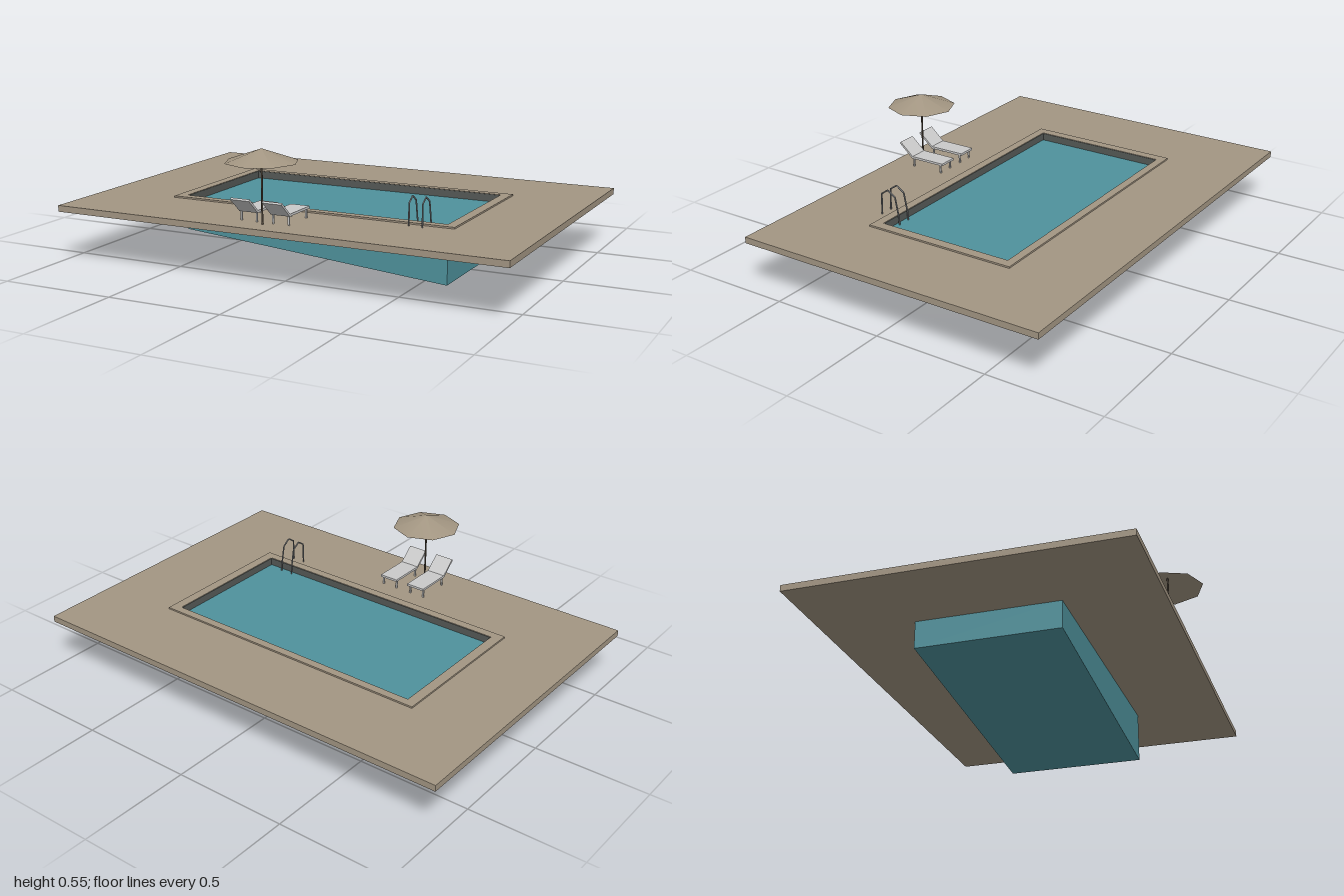
import * as THREE from 'three';

const mat = (name, color, side = THREE.FrontSide) => {
  const m = new THREE.MeshStandardMaterial({ color, side });
  m.name = name;
  return m;
};

export function createModel() {
  const stone = mat('stone', 0xa39683);
  const tile = mat('dark tile', 0x565a57);
  const water = mat('water', 0x4f929c);
  const canvas = mat('canopy', 0xa39682, THREE.DoubleSide);
  const wood = mat('dark wood', 0x51463a);
  const cushion = mat('light grey', 0xc9c9c9);
  const metal = mat('metal', 0x808386);

  const model = new THREE.Group();
  model.name = 'swimmingPool';
  const add = (parent, name, geometry, material, x = 0, y = 0, z = 0) => {
    const mesh = new THREE.Mesh(geometry, material);
    mesh.name = name;
    mesh.position.set(x, y, z);
    parent.add(mesh);
    return mesh;
  };
  const group = (name, x = 0, y = 0, z = 0) => {
    const g = new THREE.Group();
    g.name = name;
    g.position.set(x, y, z);
    model.add(g);
    return g;
  };

  // Horizontal rectangular frame; shape y becomes -z
  const rect = (P, x, z0, z1) => {
    const p = new P();
    p.moveTo(-x, -z1);
    p.lineTo(x, -z1);
    p.lineTo(x, -z0);
    p.lineTo(-x, -z0);
    p.closePath();
    return p;
  };
  const frame = (x, z0, z1, hole, y0, y1) => {
    const s = rect(THREE.Shape, x, z0, z1);
    s.holes.push(rect(THREE.Path, ...hole));
    return new THREE.ExtrudeGeometry(s, { depth: y1 - y0, bevelEnabled: false })
      .rotateX(-Math.PI / 2).translate(0, y0, 0);
  };
  const W = 0.607, Z0 = -0.34, Z1 = 0.27, DECK = 0.244, BASE = 0.217;
  add(model, 'deck', frame(1, -0.73, 0.66, [W, Z0, Z1], BASE, DECK), stone);
  add(model, 'coping', frame(0.65, -0.375, 0.308, [W, Z0, Z1], DECK, 0.251), stone);
  add(model, 'innerWall', frame(W, Z0, Z1, [W - 0.003, Z0 + 0.003, Z1 - 0.003], BASE, 0.249), tile);

  // Water body with a sloping floor
  const body = new THREE.Shape([[-W, 0.1], [W, 0], [W, BASE], [-W, BASE]]
    .map(([x, y]) => new THREE.Vector2(x, y)));
  add(model, 'waterBody',
    new THREE.ExtrudeGeometry(body, { depth: Z1 - Z0, bevelEnabled: false }), water, 0, 0, Z0);

  // Parasol with a corner towards each compass direction
  const parasol = group('parasol', -0.06, DECK, 0.573);
  add(parasol, 'canopy', new THREE.ConeGeometry(0.15, 0.053, 8, 1, true), canvas, 0, 0.279, 0);
  add(parasol, 'pole', new THREE.CylinderGeometry(0.004, 0.004, 0.3, 8), wood, 0, 0.15, 0);

  // Two loungers with reclined backs
  for (const x of [-0.137, 0.008]) {
    const lounger = group('lounger', x, DECK, 0);
    add(lounger, 'seat', new THREE.BoxGeometry(0.086, 0.01, 0.165), cushion, 0, 0.043, 0.465);
    const back = add(lounger, 'backrest', new THREE.BoxGeometry(0.086, 0.009, 0.092), cushion, 0, 0.071, 0.58);
    back.rotation.x = -0.72;
    for (const sx of [-1, 1]) for (const z of [0.397, 0.543]) {
      add(lounger, 'leg', new THREE.BoxGeometry(0.007, 0.04, 0.006), cushion, sx * 0.035, 0.02, z);
    }
  }

  // Ladder handrails
  const rail = new THREE.CurvePath();
  const pts = [[0.25, 0.215], [0.252, 0.25], [0.269, 0.336], [0.305, 0.36], [0.338, 0.337], [0.34, DECK]]
    .map(([z, y]) => new THREE.Vector3(0, y, z));
  pts.slice(1).forEach((p, i) => rail.add(new THREE.LineCurve3(pts[i], p)));
  const ladder = group('ladder');
  for (const x of [0.469, 0.527]) {
    add(ladder, 'handrail', new THREE.TubeGeometry(rail, 48, 0.0035, 6), metal, x);
  }
  return model;
}
